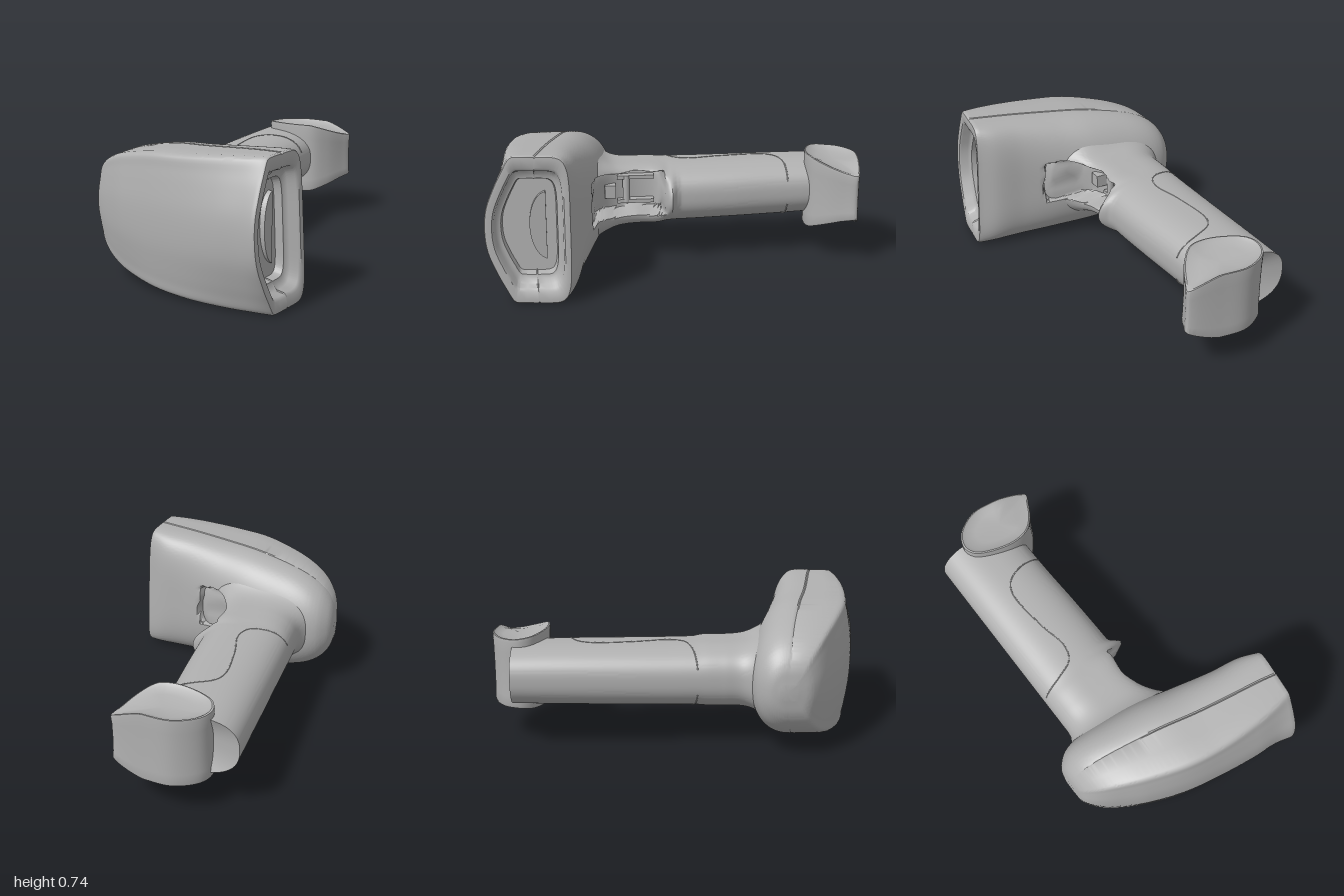
import * as THREE from 'three';
import { toCreasedNormals } from 'three/addons/utils/BufferGeometryUtils.js';

const { clamp, lerp, smoothstep } = THREE.MathUtils;
const spow = (v, p) => Math.sign(v) * Math.pow(Math.abs(v), p);

// Smooth interpolation of table rows keyed by their first column
function track(rows) {
  const slope = (i, k) => {
    const a = rows[Math.max(i - 1, 0)], b = rows[Math.min(i + 1, rows.length - 1)];
    return (b[k] - a[k]) / (b[0] - a[0]);
  };
  return (t) => {
    let i = 0;
    while (i < rows.length - 2 && t > rows[i + 1][0]) i++;
    const a = rows[i], b = rows[i + 1], d = b[0] - a[0], u = clamp((t - a[0]) / d, 0, 1);
    return a.map((v, k) => {
      const m0 = slope(i, k) * d, m1 = slope(i + 1, k) * d, u2 = u * u, u3 = u2 * u;
      return (2 * u3 - 3 * u2 + 1) * v + (u3 - 2 * u2 + u) * m0 + (3 * u2 - 2 * u3) * b[k] + (u3 - u2) * m1;
    });
  };
}

// Closed skin over rings of equal length, capped at both ends, facing outward
function loft(rings, crease = 0.7) {
  const n = rings[0].length, pos = rings.flat(2), idx = [];
  for (let r = 0; r < rings.length - 1; r++) {
    for (let i = 0; i < n; i++) {
      const a = r * n + i, b = r * n + (i + 1) % n;
      idx.push(a, b, a + n, b, b + n, a + n);
    }
  }
  [0, rings.length - 1].forEach((r) => {
    const c = [0, 1, 2].map((k) => rings[r].reduce((s, p) => s + p[k], 0) / n);
    const ci = pos.length / 3;
    pos.push(...c);
    for (let i = 0; i < n; i++) {
      const a = r * n + i, b = r * n + (i + 1) % n;
      if (r === 0) idx.push(b, a, ci); else idx.push(a, b, ci);
    }
  });
  const P = (i) => new THREE.Vector3().fromArray(pos, i * 3);
  let volume = 0;
  for (let i = 0; i < idx.length; i += 3) volume += P(idx[i]).dot(P(idx[i + 1]).cross(P(idx[i + 2])));
  if (volume < 0) idx.reverse();
  const g = new THREE.BufferGeometry();
  g.setAttribute('position', new THREE.Float32BufferAttribute(pos, 3));
  g.setIndex(idx);
  return toCreasedNormals(g, crease);
}

// Trigger opening with an uneven edge: 1 inside, 0 outside
function opening(y, z) {
  const r = 0.004 * Math.sin(y * 40) + 0.004 * Math.sin(z * 35);
  const band = (v, a, b) => smoothstep(v, a - 0.01, a + 0.01) * (1 - smoothstep(v, b - 0.01, b + 0.01));
  return band(y, 0.275 + r, 0.49 + r) * band(z, 0.075 + r, 0.46 + r);
}

// Head sections: x, half height, mid height, back z, seam z, front edge z, front peak z, squareness
const headAt = track([
  [-0.585, 0.04, 0.36, 0.46, 0.50, 0.54, 0.55, 2.2],
  [-0.575, 0.105, 0.36, 0.42, 0.505, 0.58, 0.605, 2.2],
  [-0.55, 0.163, 0.36, 0.385, 0.515, 0.615, 0.645, 2.2],
  [-0.5, 0.22, 0.36, 0.35, 0.525, 0.66, 0.69, 2.2],
  [-0.42, 0.268, 0.36, 0.335, 0.54, 0.71, 0.742, 2.2],
  [-0.3, 0.306, 0.361, 0.34, 0.565, 0.77, 0.81, 2.2],
  [-0.1, 0.34, 0.365, 0.37, 0.61, 0.845, 0.885, 2.3],
  [0.1, 0.355, 0.365, 0.43, 0.66, 0.88, 0.93, 2.6],
  [0.3, 0.365, 0.37, 0.495, 0.70, 0.89, 0.963, 3.2],
  [0.44, 0.369, 0.374, 0.53, 0.725, 0.885, 0.975, 4],
  [0.532, 0.371, 0.375, 0.58, 0.745, 0.875, 1.0, 5.5],
]);

// Mouth plane leans back as z and y grow
const lean = (x, y, z) => {
  const w = clamp((x + 0.2) / 0.73, 0, 1) ** 2;
  return x - w * (0.12 * (z - 0.8) + 0.045 * (y - 0.375));
};

function headRing(x) {
  const [, h, c, zb, zs, ze, zf, n] = headAt(x);
  const half = [];
  for (let i = 0; i <= 40; i++) {
    const a = (i / 40) * Math.PI / 2;
    half.push([h * spow(Math.sin(a), 2 / n), zs - 0.006 - (zs - 0.006 - zb) * spow(Math.cos(a), 2 / n)]);
  }
  // Seam groove, then the domed front cover
  const flank = lerp(zs, ze, 0.85);
  half.push([h * 0.985, zs], [h, zs + 0.006], [h, lerp(zs, ze, 0.5)], [h * 0.995, flank]);
  const side = [[0.995, flank], [0.955, ze], [0.8, lerp(ze, zf, 0.25)], [0.6, lerp(ze, zf, 0.55)], [0.3, lerp(ze, zf, 0.9)]];
  const dome = new THREE.SplineCurve([...side, [0, zf], ...side.map(([a, z]) => [-a, z]).reverse()]
    .map(([a, z]) => new THREE.Vector2(h * a, z)));
  dome.getPoints(40).slice(1, 21).forEach((p) => half.push([p.x, p.y]));
  const loop = [...half, ...half.slice(1, -1).reverse().map(([y, z]) => [-y, z])];
  return loop.map(([y, z]) => [x, c + y, z]);
}

function headGeometry() {
  const rings = [];
  for (let i = 0; i <= 100; i++) rings.push(headRing(-0.585 + 1.117 * (i / 100) ** 1.7));
  const rim = rings[rings.length - 1];
  // Rounded rim, then the recessed mouth
  for (const [x, s] of [[0.54, 0.985], [0.541, 0.95], [0.538, 0.84], [0.528, 0.8], [0.49, 0.77], [0.475, 0.71], [0.472, 0.66], [0.435, 0.63]])
    rings.push(rim.map(([, y, z]) => [x, 0.375 + (y - 0.375) * s, 0.77 + (z - 0.77) * s]));
  return loft(rings.map((r) => r.map(([x, y, z]) => {
    const back = smoothstep(x, -0.1, -0.05) * (1 - smoothstep(x, 0.18, 0.22)) * (z < 0.5 ? 1 : 0);
    return [lean(x, y, z), y, z + 0.1 * back * opening(y, z)];
  })));
}

// Handle sections: z, left x, right x, half thickness
const handleAt = track([
  [-0.88, -0.42, 0.03, 0.153], [-0.6, -0.42, 0.035, 0.158], [-0.3, -0.42, 0.045, 0.16],
  [0, -0.42, 0.052, 0.163], [0.06, -0.42, 0.045, 0.163], [0.12, -0.42, 0.01, 0.165], [0.2, -0.42, 0, 0.166],
  [0.29, -0.425, 0.015, 0.168], [0.35, -0.46, 0.04, 0.178], [0.4, -0.52, 0.08, 0.205],
  [0.45, -0.555, 0.14, 0.25], [0.5, -0.55, 0.2, 0.275],
]);
const handleMid = (z) => lerp(0.37, 0.362, clamp((z + 0.88) / 0.8, 0, 1));
const SQ = 2.5;

function handleGeometry() {
  const rings = [];
  for (let i = 0; i <= 125; i++) {
    const z = lerp(-0.88, 0.5, i / 125), [, l, r, h] = handleAt(z), ring = [];
    // Squarer shoulders around the trigger
    const square = SQ + 3 * smoothstep(z, 0.04, 0.14) * (1 - smoothstep(z, 0.34, 0.46));
    for (let j = 0; j < 120; j++) {
      const a = (j / 120) * Math.PI * 2, n = Math.cos(a) > 0 ? square : SQ;
      let x = (l + r) / 2 + (r - l) / 2 * spow(Math.cos(a), 2 / n);
      const y = handleMid(z) + h * spow(Math.sin(a), 2 / n);
      const zz = z + 0.16 * smoothstep(x, -0.3, -0.02) * clamp((-0.3 - z) / 0.58, 0, 1);
      // Pointed finger stop and trigger opening
      if (x > -0.1) {
        x += 0.06 * Math.exp(-(((z - 0.04) / 0.025) ** 2) - ((y - 0.36) / 0.1) ** 2);
        x -= 0.14 * opening(y, z);
      }
      ring.push([x, y, zz]);
    }
    rings.push(ring);
  }
  return loft(rings, 0.8);
}

// Fine seam lines lying on the handle, above or below
function handleSeam(points, side) {
  const path = new THREE.CatmullRomCurve3(points.map(([x, z]) => new THREE.Vector3(x, 0, z)));
  const onSkin = path.getPoints(60).map(({ x, z }) => {
    const [, l, r, h] = handleAt(z), u = Math.min(1, Math.abs((x - (l + r) / 2) / ((r - l) / 2)));
    return new THREE.Vector3(x, handleMid(z) + side * (h * (1 - u ** SQ) ** (1 / SQ) - 0.001), z);
  });
  return new THREE.TubeGeometry(new THREE.CatmullRomCurve3(onSkin), 90, 0.0035, 6);
}

// Teardrop end block, thinning towards its tip, with lips and a dished top
function endBlockGeometry() {
  const outline = new THREE.CatmullRomCurve3([[-0.285, -0.85], [-0.25, -0.93], [-0.13, -0.995], [0.02, -0.985], [0.17, -0.955],
    [0.19, -0.94], [0.165, -0.88], [0.11, -0.785], [0.04, -0.72], [-0.06, -0.705], [-0.2, -0.745], [-0.265, -0.79]]
    .map(([x, z]) => new THREE.Vector3(x, 0, z)), true).getPoints(80).slice(0, -1);
  const levels = [[0.205, 0.8], [0.19, 0.92], [0.19, 0.98], [0.2, 1], [0.25, 0.985], [0.37, 0.98], [0.48, 0.985],
    [0.54, 1], [0.555, 0.99], [0.557, 0.95], [0.545, 0.85], [0.535, 0.6]];
  return loft(levels.map(([y, s]) => outline.map((p) => {
    const x = -0.05 + (p.x + 0.05) * s, z = -0.87 + (p.z + 0.87) * s;
    const taper = 1 - 0.34 * clamp((x - 0.02) / 0.17, 0, 1) ** 1.3 + 0.6 * Math.max(0, z + 0.87);
    return [x, 0.373 + (y - 0.373) * taper, z];
  })), 0.6);
}

export function createModel() {
  const root = new THREE.Group();
  root.name = 'handheldScanner';
  const grey = new THREE.MeshStandardMaterial({ color: 0xb0b0b0 });
  grey.name = 'grey plastic';
  const add = (name, geometry, x = 0, y = 0, z = 0) => {
    const m = new THREE.Mesh(geometry, grey);
    m.name = name;
    m.position.set(x, y, z);
    root.add(m);
    return m;
  };

  add('head', headGeometry());
  add('handle', handleGeometry());
  add('endBlock', endBlockGeometry());

  // Lens slot inside the mouth
  const slot = new THREE.Shape();
  slot.moveTo(-0.70, 0.2);
  slot.lineTo(-0.70, 0.55);
  slot.bezierCurveTo(-0.81, 0.52, -0.81, 0.24, -0.70, 0.2);
  const lens = add('scanWindow', new THREE.ExtrudeGeometry(slot, { depth: 0.03, bevelEnabled: false, curveSegments: 24 }), 0.43);
  lens.rotation.y = Math.PI / 2;

  // Grip panel seams on both faces
  const gripEdge = [[0.025, -0.6], [-0.1, -0.59], [-0.19, -0.55], [-0.225, -0.48], [-0.21, -0.25], [-0.18, -0.08],
    [-0.21, 0], [-0.3, 0.04], [-0.41, 0.065]];
  for (const side of [1, -1]) add('gripSeam', handleSeam(gripEdge, side));

  // Trigger mechanism inside the opening
  for (const y of [0.315, 0.45]) add('triggerRail', new THREE.BoxGeometry(0.05, 0.02, 0.2), -0.11, y, 0.22);
  add('triggerPivot', new THREE.CylinderGeometry(0.02, 0.02, 0.15, 20), -0.1, 0.385, 0.27);
  add('triggerSwitch', new THREE.BoxGeometry(0.06, 0.07, 0.06), -0.08, 0.38, 0.36);
  return root;
}
